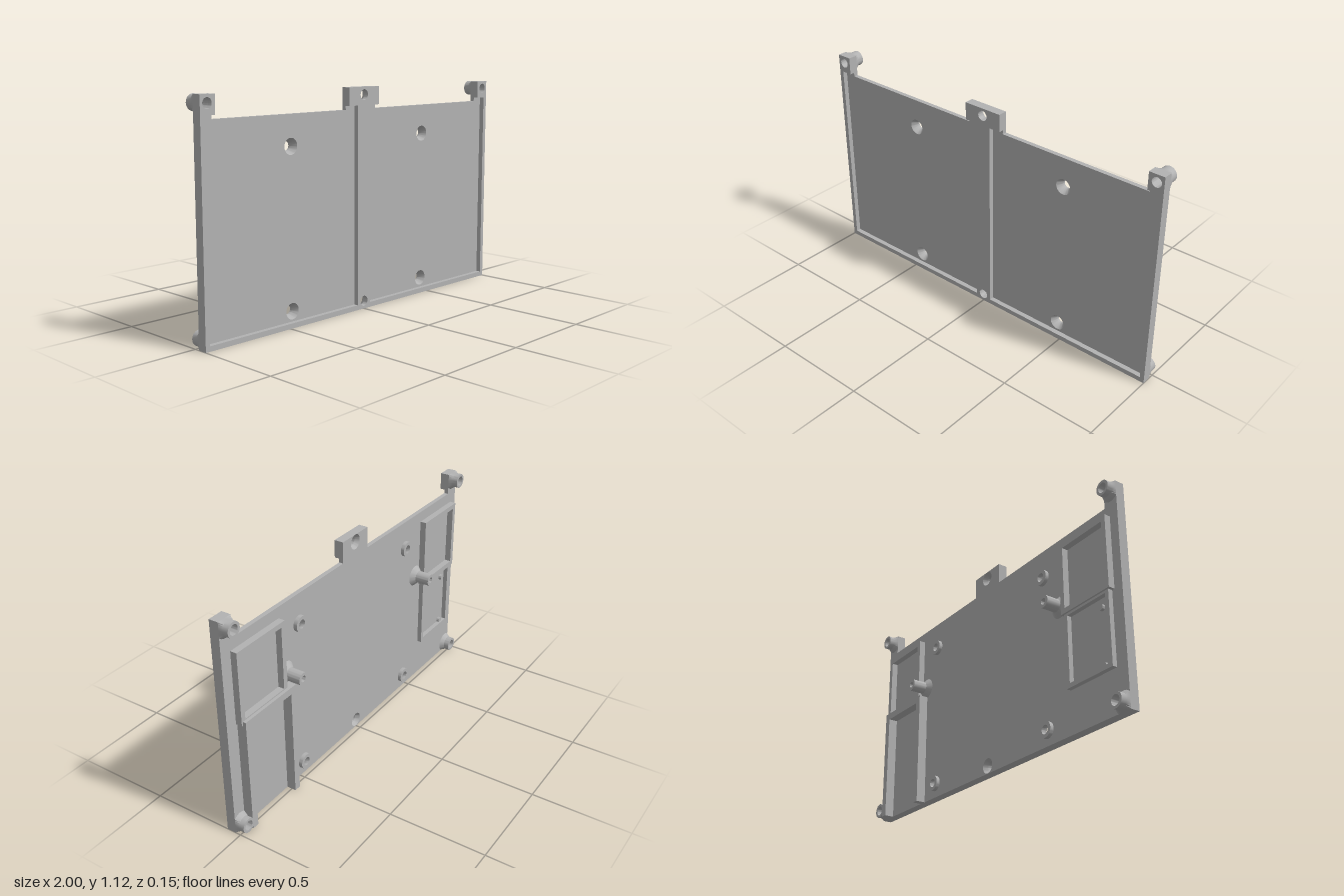
import * as THREE from 'three';
import { toCreasedNormals } from 'three/addons/utils/BufferGeometryUtils.js';

// depth levels, from back to front
const BACK = 0.027, FLOOR = 0.05, FRONT = 0.075;

export function createModel() {
  const model = new THREE.Group();
  model.name = 'mountingPlate';
  const grey = new THREE.MeshStandardMaterial({ color: 0xb2b2b2 });
  grey.name = 'grey plastic';

  function add(name, geometry) {
    const mesh = new THREE.Mesh(toCreasedNormals(geometry, 0.6), grey);
    mesh.name = name;
    model.add(mesh);
    return mesh;
  }

  // flat slab between two depths; holes are [x, y, radius]
  function slab(name, points, z0, z1, holes = []) {
    const shape = new THREE.Shape(points.map(([x, y]) => new THREE.Vector2(x, y)));
    for (const [x, y, r] of holes) {
      shape.holes.push(new THREE.Path().absarc(x, y, r, 0, Math.PI * 2, true));
    }
    const g = new THREE.ExtrudeGeometry(shape, { depth: z1 - z0, bevelEnabled: false, curveSegments: 16 });
    g.translate(0, 0, z0);
    return add(name, g);
  }

  // turned part along z at (x, y); profile is [radius, z], optionally trimmed to a box
  function turned(name, x, y, profile, trim) {
    const g = new THREE.LatheGeometry(profile.map(([r, z]) => new THREE.Vector2(r, z)), 32);
    g.rotateX(Math.PI / 2);
    g.translate(x, y, 0);
    if (trim) {
      const p = g.attributes.position;
      for (let i = 0; i < p.count; i++) {
        p.setX(i, THREE.MathUtils.clamp(p.getX(i), trim[0], trim[1]));
        p.setY(i, THREE.MathUtils.clamp(p.getY(i), trim[2], trim[3]));
      }
      g.computeVertexNormals();
    }
    return add(name, g);
  }

  // symmetric outline from its right half, bottom to top
  const mirrored = (half) => [...half, ...half.map(([x, y]) => [-x, y]).reverse()];

  const cornerX = 0.962, topY = 1.082, lowY = 0.04;
  const screws = [];
  for (const x of [-0.467, 0.467]) for (const y of [0.075, 0.86]) screws.push([x, y]);
  const cornerHoles = [[-cornerX, topY, 0.025], [cornerX, topY, 0.025]];
  const centreHoles = [[0, topY], [0, lowY]];

  // thin floor with three tabs at the top
  slab('floorPlate', mirrored([[1, 0], [1, 1.12], [0.92, 1.12], [0.92, 1.01], [0.105, 1.01], [0.105, 1.12]]),
    BACK, FLOOR, [
      ...cornerHoles,
      ...centreHoles.map(([x, y]) => [x, y, 0.038]),
      ...screws.map(([x, y]) => [x, y, 0.04]),
    ]);

  // raised rim and centre rib, leaving two pockets open at the top
  slab('rimAndRib', mirrored([
    [1, 0], [1, 1.12], [0.92, 1.12], [0.92, 1.03], [0.977, 1.03], [0.977, 0.025],
    [0.045, 0.025], [0.045, 1.03], [0.105, 1.03], [0.105, 1.12],
  ]), FLOOR, FRONT, [...cornerHoles, ...centreHoles.map(([x, y]) => [x, y, 0.026])]);

  // countersinks at the back of the centre holes
  for (const [x, y] of centreHoles) {
    turned('centreCountersink', x, y, [[0.026, FLOOR], [0.038, BACK]]);
  }

  // countersunk screw seats with a ring boss at the back
  for (const [x, y] of screws) {
    turned('screwSeat', x, y, [[0.04, FLOOR], [0.022, 0.022], [0.022, 0.008], [0.04, 0.008], [0.04, FLOOR]]);
  }

  // corner posts with flared feet trimmed to the plate
  for (const side of [-1, 1]) {
    for (const y of [lowY, topY]) {
      const inner = y === topY ? 0.92 : 0.85;
      const trim = side > 0 ? [inner, 1, 0, 1.12] : [-1, -inner, 0, 1.12];
      turned('cornerPost', side * cornerX, y,
        [[0.025, BACK], [0.025, -0.022], [0.038, -0.022], [0.038, 0.006], [0.054, BACK]], trim);
    }
  }

  // long standoffs
  for (const x of [-0.581, 0.577]) {
    turned('standoff', x, 0.652,
      [[0.016, BACK], [0.016, -0.073], [0.032, -0.073], [0.032, 0.003], [0.056, BACK]]);
  }

  // rectangular walls on the back; an open frame has no bottom bar
  function frame(name, x0, x1, y0, y1, t, z, open = false) {
    const bottom = open ? y0 : y0 + t;
    const shape = [[x0, y0], [x0, y1], [x1, y1], [x1, y0]];
    const inner = [[x1 - t, bottom], [x1 - t, y1 - t], [x0 + t, y1 - t], [x0 + t, bottom]];
    if (open) return slab(name, [...shape, ...inner], z, BACK);
    const s = new THREE.Shape(shape.map((p) => new THREE.Vector2(...p)));
    s.holes.push(new THREE.Path(inner.map((p) => new THREE.Vector2(...p))));
    const g = new THREE.ExtrudeGeometry(s, { depth: BACK - z, bevelEnabled: false });
    g.translate(0, 0, z);
    return add(name, g);
  }
  frame('leftUpperFrame', 0.61, 0.94, 0.58, 0.953, 0.026, -0.006);
  frame('leftLowerFrame', 0.57, 0.932, 0, 0.6, 0.036, -0.022, true);
  frame('rightUpperFrame', -0.95, -0.625, 0.58, 0.953, 0.026, -0.006);
  frame('rightLowerFrame', -0.935, -0.635, 0.21, 0.59, 0.022, 0.003);

  // locating pins inside the lower right frame
  for (const y of [0.24, 0.52]) {
    turned('locatingPin', -0.87, y, [[0, 0.012], [0.015, 0.012], [0.015, BACK]]);
  }

  return model;
}
